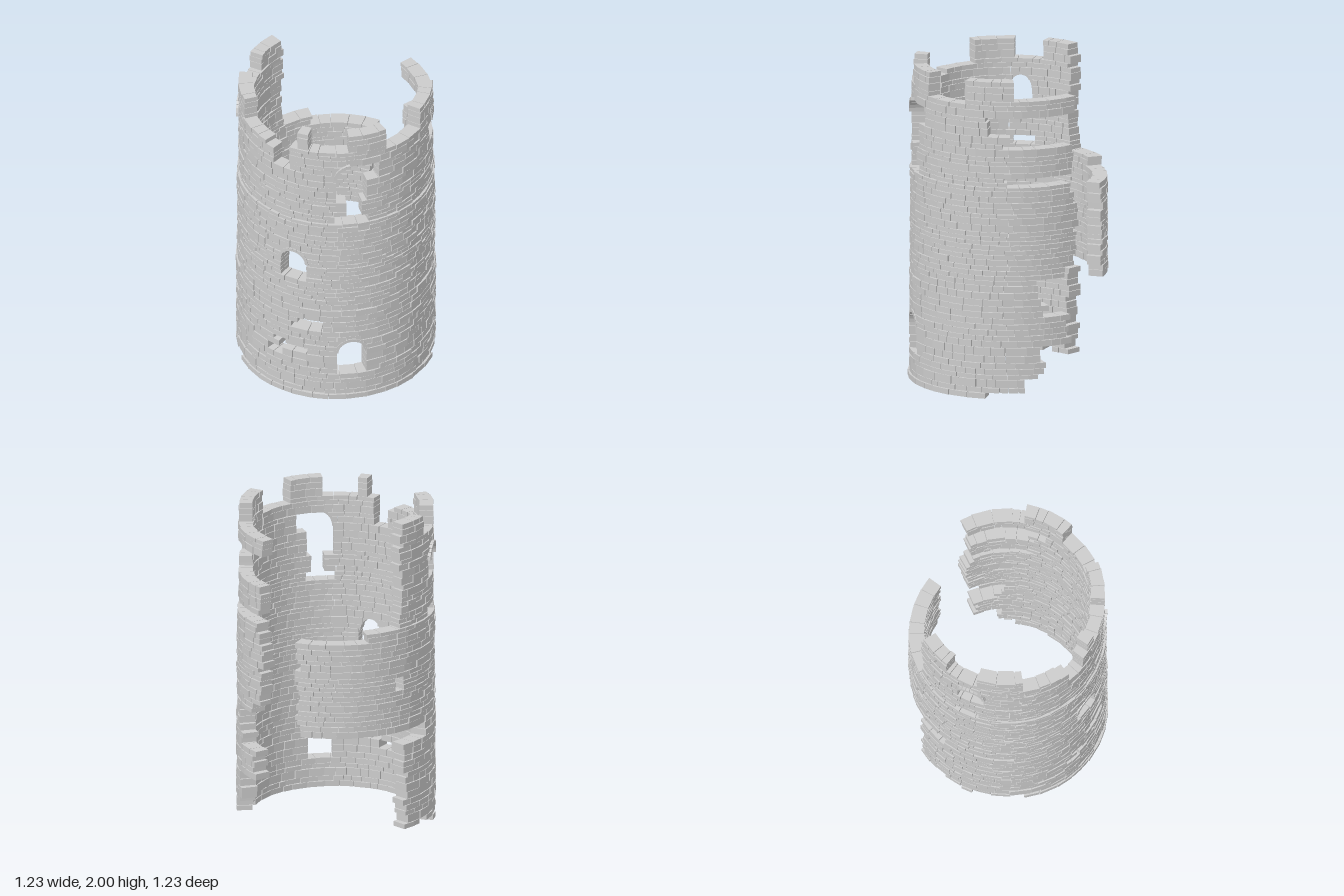
import * as THREE from 'three';
import { mergeGeometries } from 'three/addons/utils/BufferGeometryUtils.js';

const DEG = Math.PI / 180;
const INNER = 0.512;

// small seeded generator, 0..1
let seed = 7;
const rnd = () => {
  seed = (seed * 16807) % 2147483647;
  return seed / 2147483647;
};

// Azimuth in degrees: 0 = front (+z), positive towards +x.
// Arched openings: centre azimuth, sill, springing height, radius
const ARCHES = [
  { name: 'doorArch', c: 14, sill: 0.18, spring: 0.35, r: 0.088, from: -90, to: 90 },
  { name: 'middleWindowArch', c: -21, sill: 0.86, spring: 1.01, r: 0.085, from: -90, to: 90 },
  { name: 'upperWindowArch', c: 14, sill: 1.5, spring: 1.68, r: 0.095, from: -90, to: -5 },
  { name: 'sideWindowArch', c: -97, sill: 1.55, spring: 1.69, r: 0.085, from: -90, to: 90 },
];

// Broken-out holes and gaps between merlons: bottom, top, start and end azimuth
const BREACHES = [
  [0.5, 0.53, -22, -12], [0.52, 0.58, -18, -3],
  [0.31, 0.36, -30, -12], [0.27, 0.31, -38, -28], [0.36, 0.4, -34, -26],
  [1.63, 1.79, 14, 31], [1.4, 1.5, 11, 20], [1.33, 1.4, 4, 24],
  [1.33, 1.4, -107, -92], [0.94, 1.02, -140, -134],
  [0, 0.036, -95, -65], [0.036, 0.075, -120, -113],
  [1.69, 2, -35, -24], [1.83, 2, -41, -33],
  [1.9, 2, -25, -19], [1.9, 2, -12, 12], [1.84, 2, 36, 64],
  [1.9, 2, 94, 140], [1.84, 2, -65, -40], [1.87, 2, -113, -93],
];

// Ragged wall ends: [up to height, azimuth]
const RIGHT_END = [
  [0.036, 82], [0.1, 105], [0.3, 113], [0.5, 130], [0.58, 116], [0.74, 112], [0.8, 128],
  [1.27, 136], [1.335, 132], [1.4, 92], [1.55, 134], [1.65, 92], [1.78, 81], [2.1, 137],
];
const LEFT_END = [
  [0.036, -102], [0.57, -135], [0.67, -115], [1.275, -202], [1.335, -160], [2.1, -137],
];
const endAt = (table, y) => table.find(([top]) => y < top)[1];

// One stone, tapered towards the tower axis; tilt turns it within the wall face
function stone(az, y, width, height, rIn, rOut, tilt = 0) {
  const g = new THREE.BoxGeometry(width, height, rOut - rIn);
  const p = g.attributes.position;
  if (!tilt) {
    for (let i = 0; i < p.count; i++) if (p.getZ(i) < 0) p.setX(i, p.getX(i) * rIn / rOut);
  }
  g.rotateZ(tilt);
  g.translate(0, y, (rIn + rOut) / 2);
  g.rotateY(az * DEG);
  return g;
}

// Standing stretches of wall left in a course after all openings are cut
function standingRuns(y) {
  let runs = [[endAt(LEFT_END, y) + rnd() * 4, endAt(RIGHT_END, y) - rnd() * 5]];
  const cut = (a, b) => {
    runs = runs.flatMap(([s, e]) => [[s, Math.min(e, a)], [Math.max(s, b), e]].filter(([m, n]) => n - m > 1));
  };
  for (const [y0, y1, a, b] of BREACHES) if (y > y0 && y < y1) cut(a, b);
  for (const { c, sill, spring, r } of ARCHES) {
    if (y < sill || y > spring + r) continue;
    const half = Math.sqrt(r * r - Math.max(0, y - spring) ** 2) / 0.6 / DEG;
    cut(c - half, c + half);
  }
  return runs;
}

// One course of stones
function layCourse(list, y0, h, radius) {
  const y = y0 + h / 2;
  for (const [start, end] of standingRuns(y)) {
    let a = start;
    while (a < end - 0.1) {
      let step = 5 + rnd() * 8;
      if (end - a - step < 3) step = end - a;
      if (step > 14) step /= 2;
      const rOut = radius + (rnd() - 0.5) * 0.008;
      const rIn = INNER + (rnd() - 0.5) * 0.008;
      const width = 2 * rOut * Math.tan(step * DEG / 2) - 0.004;
      list.push(stone(a + step / 2, y, width, h - 0.003, rIn, rOut));
      a += step;
    }
  }
}

export function createModel() {
  const tower = new THREE.Group();
  tower.name = 'ruinedRoundTower';
  const mat = new THREE.MeshStandardMaterial({ color: 0xcccccc, flatShading: true });
  const add = (name, list) => {
    const mesh = new THREE.Mesh(mergeGeometries(list), mat);
    mesh.name = name;
    tower.add(mesh);
  };

  // three storeys of coursed masonry
  const storeys = [
    { name: 'lowerStorey', y0: 0.036, y1: 0.67, n: 16, r: 0.609 },
    { name: 'middleStorey', y0: 0.67, y1: 1.335, n: 20, r: 0.605 },
    { name: 'upperStorey', y0: 1.335, y1: 2, n: 18, r: 0.596 },
  ];
  const base = [];
  layCourse(base, 0, 0.036, 0.617);
  add('baseCourse', base);
  for (const { name, y0, y1, n, r } of storeys) {
    const heights = Array.from({ length: n }, () => 0.7 + rnd() * 0.7);
    const scale = (y1 - y0) / heights.reduce((s, h) => s + h, 0);
    const list = [];
    let y = y0;
    for (const h of heights) {
      layCourse(list, y, h * scale, r);
      y += h * scale;
    }
    add(name, list);
  }

  // slightly proud arch stones over the door and windows
  for (const { name, c, spring, r, from, to } of ARCHES) {
    const list = [];
    const n = Math.round((to - from) / 15);
    const ring = r + 0.004;
    for (let i = 0; i < n; i++) {
      const t = (from + (i + 0.5) * (to - from) / n) * DEG;
      const az = c + ring * Math.sin(t) / 0.6 / DEG;
      list.push(stone(az, spring + ring * Math.cos(t), ring * 15 * DEG, 0.02, INNER + 0.01, 0.614, -t));
    }
    add(name, list);
  }
  return tower;
}
